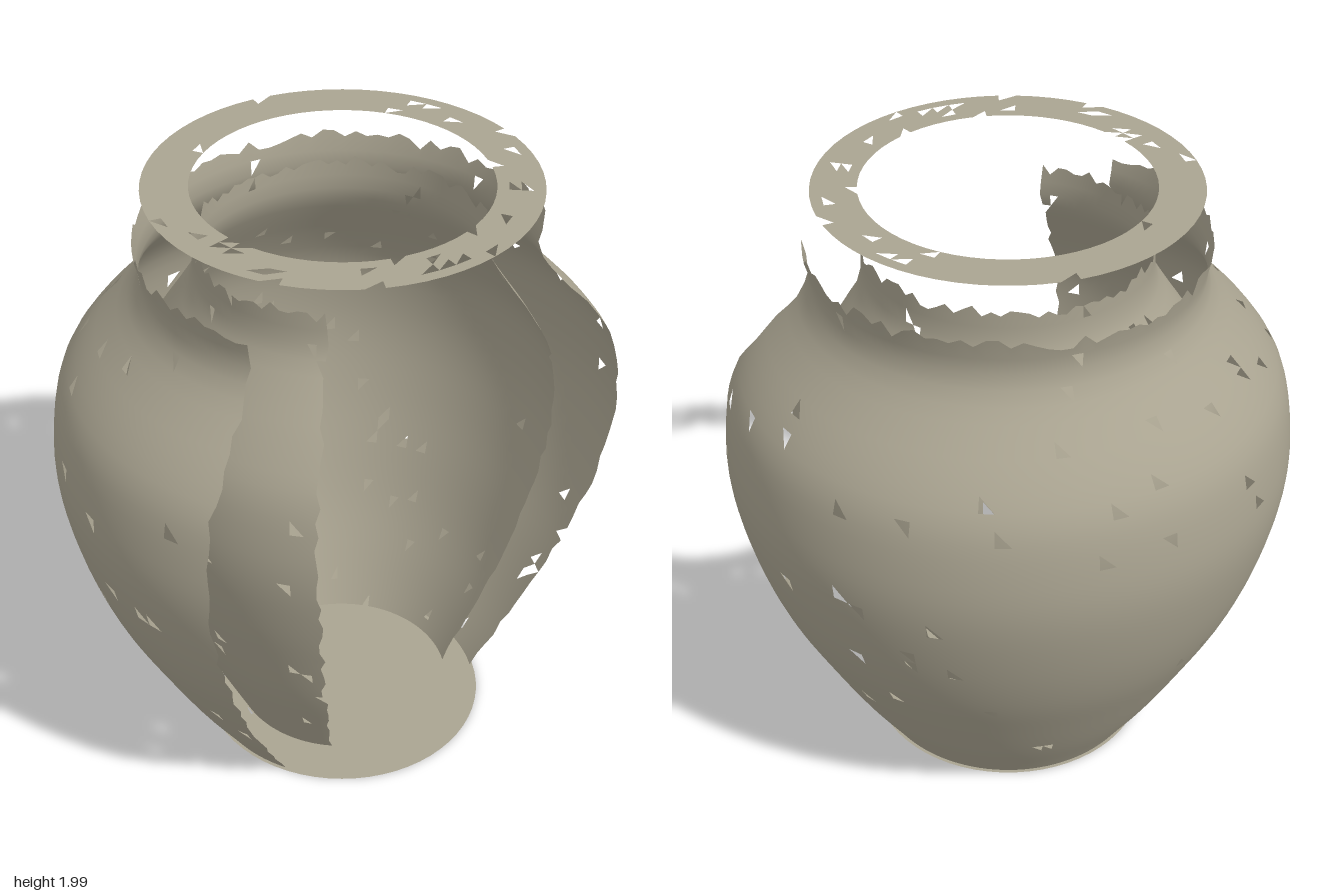
import * as THREE from 'three';

const DEG = Math.PI / 180;
const clay = new THREE.MeshStandardMaterial({ color: 0xaaa491, side: THREE.DoubleSide });

// Small seeded generator for the chipped look
function seeded(seed) {
  return () => {
    seed = (seed * 16807) % 2147483647;
    return seed / 2147483647;
  };
}

// Leaves out a small share of the triangles, as chips in the surface
function chip(geometry, share, rand) {
  const index = geometry.index.array, kept = [];
  for (let i = 0; i < index.length; i += 3) {
    if (rand() > share) kept.push(index[i], index[i + 1], index[i + 2]);
  }
  geometry.setIndex(kept);
  return geometry;
}

// Resamples a profile of [radius, height] pairs as a smooth curve
function smoothProfile(pairs, count) {
  const curve = new THREE.CatmullRomCurve3(pairs.map(([r, y]) => new THREE.Vector3(r, y, 0)), false, 'centripetal');
  return curve.getSpacedPoints(count).map((p) => new THREE.Vector2(p.x, p.y));
}

// Partly revolved wall with ragged broken ends and a ragged top
function brokenWall(name, pairs, from, to, seed) {
  const rand = seeded(seed);
  const rows = 40, cols = 72;
  const geometry = new THREE.LatheGeometry(smoothProfile(pairs, rows), cols, from * DEG, (to - from) * DEG);
  const pos = geometry.attributes.position;
  for (let i = 0; i <= cols; i++) {
    for (let j = 0; j <= rows; j++) {
      const k = i * (rows + 1) + j;
      if (j === rows) pos.setY(k, pos.getY(k) + (rand() - 0.5) * 0.045);
      if (i === 0 || i === cols) {
        const a = (rand() - 0.5) * 0.035;
        const x = pos.getX(k), z = pos.getZ(k);
        pos.setX(k, x * Math.cos(a) + z * Math.sin(a));
        pos.setZ(k, z * Math.cos(a) - x * Math.sin(a));
      }
    }
  }
  const mesh = new THREE.Mesh(chip(geometry, 0.015, rand), clay);
  mesh.name = name;
  return mesh;
}

// Flat horizontal ring or disc
function flatRing(name, inner, outer, y, share, seed) {
  const geometry = new THREE.RingGeometry(inner, outer, 64, 4);
  geometry.rotateX(-Math.PI / 2);
  const mesh = new THREE.Mesh(chip(geometry, share, seeded(seed)), clay);
  mesh.position.y = y;
  mesh.name = name;
  return mesh;
}

export function createModel() {
  const model = new THREE.Group();
  model.name = 'brokenJar';
  const jar = new THREE.Group();
  jar.name = 'jar';
  jar.position.z = 0.08;
  model.add(jar);

  // Outer wall, broken open at the front
  const outerProfile = [
    [0.46, 0.01], [0.485, 0.05], [0.58, 0.2], [0.69, 0.4], [0.79, 0.6], [0.86, 0.8], [0.905, 1.02],
    [0.905, 1.17], [0.87, 1.35], [0.8, 1.46], [0.71, 1.56], [0.635, 1.65], [0.61, 1.72], [0.625, 1.815],
  ];
  jar.add(brokenWall('outerWall', outerProfile, 90, 324, 11));

  // Inner wall, reaching a little further round
  const innerProfile = [
    [0.36, 0.05], [0.43, 0.2], [0.52, 0.4], [0.59, 0.6], [0.65, 0.8], [0.69, 1.0],
    [0.695, 1.15], [0.67, 1.32], [0.6, 1.46], [0.51, 1.6], [0.455, 1.7], [0.45, 1.815],
  ];
  jar.add(brokenWall('innerWall', innerProfile, 90, 343, 29));

  // Floor and underside
  jar.add(flatRing('floor', 0, 0.365, 0.05, 0.01, 41));
  jar.add(flatRing('base', 0, 0.47, 0.008, 0.02, 53));

  // Flat lip left above the broken neck
  jar.add(flatRing('lip', 0.45, 0.592, 1.995, 0.05, 67));

  return model;
}
